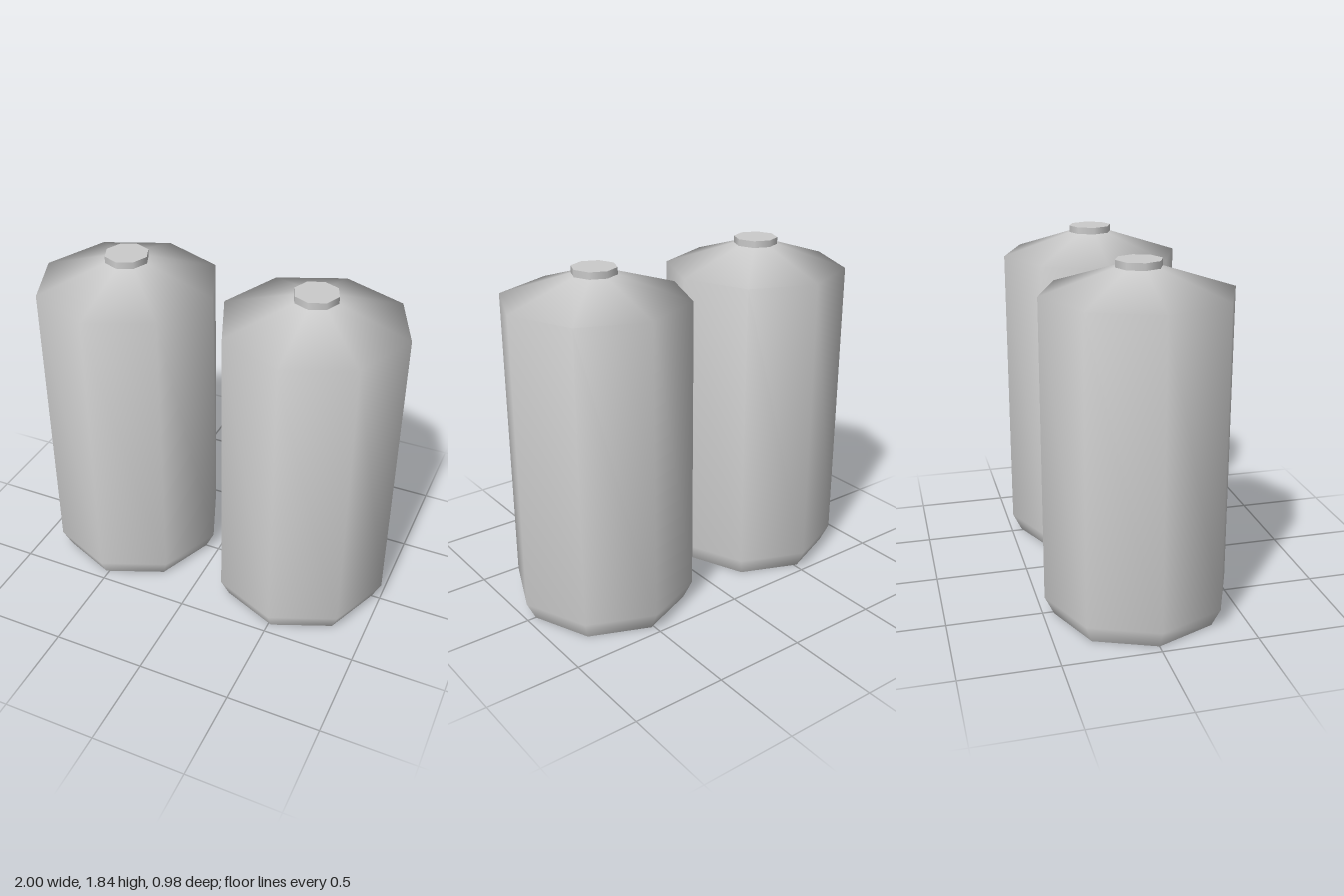
import * as THREE from 'three';

const SIDES = 8;
const material = new THREE.MeshStandardMaterial({ color: 0xcccccc });

function addMesh(parent, name, geometry, y = 0) {
  const mesh = new THREE.Mesh(geometry, material);
  mesh.name = name;
  mesh.position.y = y;
  parent.add(mesh);
  return mesh;
}

// One eight-sided tank, standing on y = 0
function createTank(name) {
  const tank = new THREE.Group();
  tank.name = name;

  // Chamfered foot, straight wall and conical shoulder, smoothly shaded
  const profile = [[0.436, 0], [0.484, 0.1], [0.484, 1.68], [0.116, 1.8]]
    .map(([r, y]) => new THREE.Vector2(r, y));
  addMesh(tank, 'body', new THREE.LatheGeometry(profile, SIDES));

  // Flat underside
  const base = new THREE.CircleGeometry(0.436, SIDES).rotateX(Math.PI / 2);
  addMesh(tank, 'base', base);

  // Short capped neck
  addMesh(tank, 'neck', new THREE.CylinderGeometry(0.116, 0.116, 0.036, SIDES), 1.818);

  tank.scale.z = 1.013;
  return tank;
}

export function createModel() {
  const model = new THREE.Group();
  model.name = 'twinTanks';
  for (const [name, side] of [['leftTank', 1], ['rightTank', -1]]) {
    const tank = createTank(name);
    tank.position.x = side * 0.516;
    model.add(tank);
  }
  return model;
}
